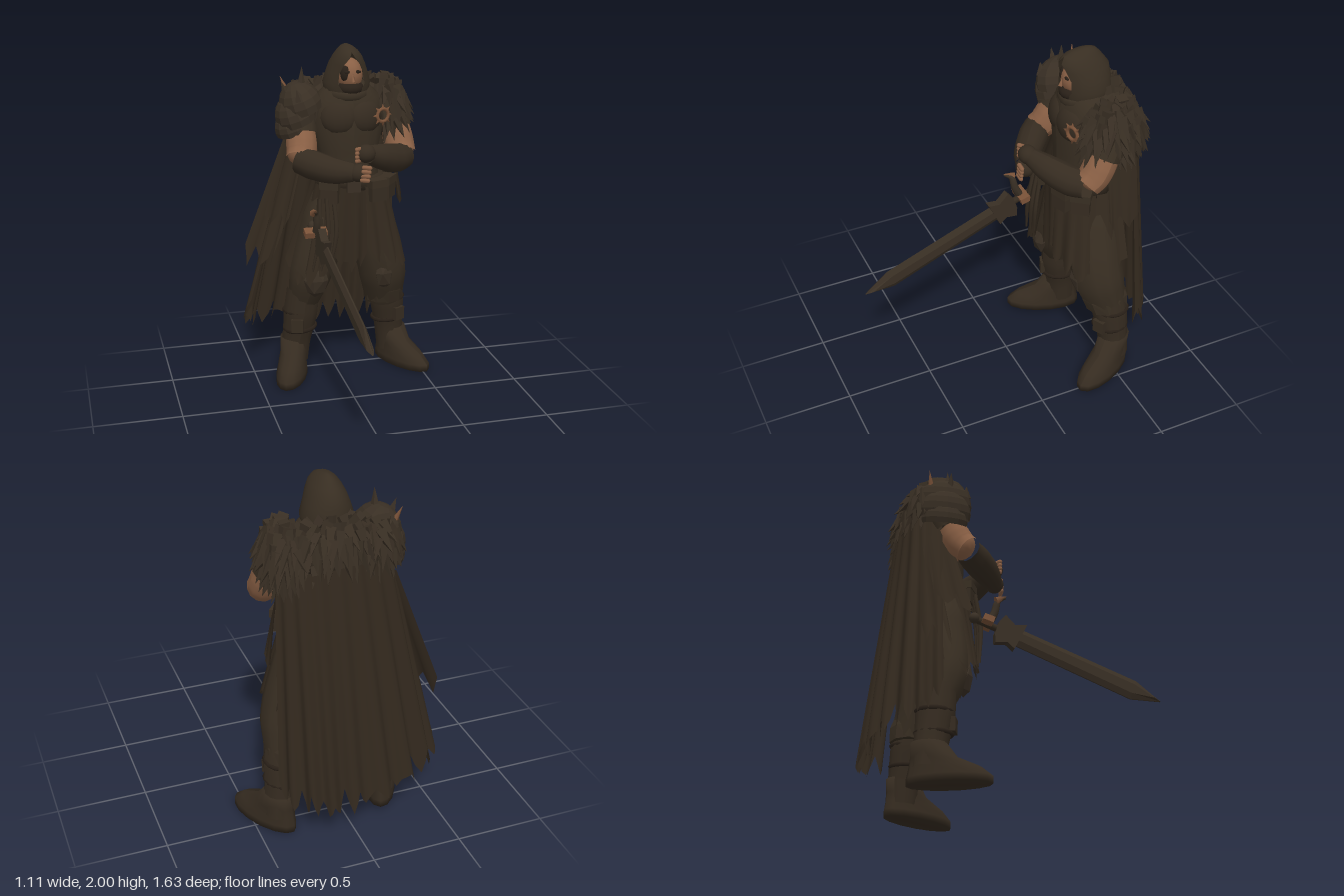
import * as THREE from 'three';
import { mergeGeometries } from 'three/addons/utils/BufferGeometryUtils.js';

const V = (p) => new THREE.Vector3(...p);
const mat = (name, color, side = THREE.FrontSide) => {
  const m = new THREE.MeshStandardMaterial({ color, side });
  m.name = name;
  return m;
};

function createModel() {
  let seed = 7;
  const rnd = () => (seed = (seed * 16807) % 2147483647) / 2147483647;
  const cloth = mat('dark cloth', 0x382e22);
  const cape = mat('cape cloth', 0x33291e, THREE.DoubleSide);
  const hood = mat('hood cloth', 0x382e22, THREE.DoubleSide);
  const fur = mat('fur', 0x382e23);
  const leather = mat('leather', 0x352b20);
  const metal = mat('dark metal', 0x392f24, THREE.DoubleSide);
  const skin = mat('skin', 0x8a6045);
  const trim = mat('copper trim', 0x7a5238);
  const shade = mat('shadow leather', 0x292018);
  const root = new THREE.Group();

  const add = (name, geo, m, pos = [0, 0, 0], rot = [0, 0, 0], scale = [1, 1, 1], parent = root) => {
    const mesh = new THREE.Mesh(geo, m);
    mesh.name = name;
    mesh.position.set(...pos);
    mesh.rotation.set(...rot);
    mesh.scale.set(...scale);
    parent.add(mesh);
    return mesh;
  };
  const ball = (name, m, pos, scale, rot) => add(name, new THREE.SphereGeometry(1, 14, 10), m, pos, rot, scale);
  const flat = (g) => {
    const f = g.index ? g.toNonIndexed() : g;
    f.computeVertexNormals();
    return f;
  };
  const build = (pos, idx) => {
    const g = new THREE.BufferGeometry();
    g.setAttribute('position', new THREE.Float32BufferAttribute(pos, 3));
    g.setIndex(idx);
    g.computeVertexNormals();
    return g;
  };

  // Horizontal elliptical rings [x, y, z, rx, rz, frontGap], bottom to top, capped
  function loft(rings, n = 16) {
    const pos = [], idx = [], w = n + 1;
    rings.forEach(([x, y, z, rx, rz, gap = 0]) => {
      for (let j = 0; j <= n; j++) {
        const a = gap + ((Math.PI * 2 - gap * 2) * j) / n;
        pos.push(x + Math.sin(a) * rx, y, z + Math.cos(a) * rz);
      }
    });
    for (let i = 0; i < rings.length - 1; i++)
      for (let j = 0; j < n; j++) {
        const a = i * w + j, b = a + w;
        idx.push(a, a + 1, b, a + 1, b + 1, b);
      }
    [0, rings.length - 1].forEach((r, top) => {
      const c = pos.length / 3;
      pos.push(rings[r][0], rings[r][1], rings[r][2]);
      for (let j = 0; j < n; j++) {
        const a = r * w + j;
        top ? idx.push(c, a, a + 1) : idx.push(c, a + 1, a);
      }
    });
    return build(pos, idx);
  }

  // Tube of varying radius through points
  function limb(points, radii, n = 12) {
    const curve = new THREE.CatmullRomCurve3(points.map(V)), segs = 16;
    const g = new THREE.TubeGeometry(curve, segs, 1, n), p = g.attributes.position, v = new THREE.Vector3();
    for (let i = 0; i <= segs; i++) {
      const c = curve.getPointAt(i / segs), t = (i / segs) * (radii.length - 1);
      const k = Math.min(Math.floor(t), radii.length - 2);
      const r = THREE.MathUtils.lerp(radii[k], radii[k + 1], t - k);
      for (let j = 0; j <= n; j++) {
        const q = i * (n + 1) + j;
        v.fromBufferAttribute(p, q).sub(c).multiplyScalar(r).add(c);
        p.setXYZ(q, v.x, v.y, v.z);
      }
    }
    g.computeVertexNormals();
    return g;
  }

  // Pleated hanging cloth between two curves, with a pointed, ragged hem
  function curtain(top, bottom, cols, folds, pleat, jag) {
    const a = new THREE.CatmullRomCurve3(top.map(V)), b = new THREE.CatmullRomCurve3(bottom.map(V));
    const pos = [], idx = [], rows = 8, w = rows + 1;
    for (let j = 0; j <= cols; j++) {
      const u = j / cols, p = a.getPoint(u), q = b.getPoint(u);
      const len = 1 - jag * Math.abs((j % 4) / 2 - 1) * (0.3 + 0.7 * rnd());
      for (let i = 0; i <= rows; i++) {
        const v = (i / rows) * len, s = p.clone().lerp(q, v);
        const out = new THREE.Vector3(s.x - 0.05, 0, s.z + 0.4).normalize();
        s.addScaledVector(out, pleat * Math.sin(u * folds * Math.PI * 2) * (0.2 + 0.8 * v));
        pos.push(s.x, s.y, s.z);
        if (i < rows && j < cols) {
          const k = j * w + i;
          idx.push(k, k + 1, k + w, k + 1, k + w + 1, k + w);
        }
      }
    }
    return build(pos, idx);
  }

  // Torso, chest plate, belt
  add('torso', loft([[0.08, 1.1, -0.42, 0.2, 0.16], [0.08, 1.25, -0.41, 0.17, 0.14], [0.07, 1.4, -0.41, 0.18, 0.14],
    [0.07, 1.58, -0.42, 0.22, 0.16], [0.07, 1.7, -0.43, 0.2, 0.14], [0.07, 1.79, -0.43, 0.1, 0.1]]), cloth);
  for (const s of [-1, 1]) ball('chestPlate', leather, [0.07 + s * 0.075, 1.6, -0.32], [0.11, 0.1, 0.06], [-0.15, s * 0.3, 0]);
  add('belt', loft([[0.08, 1.18, -0.41, 0.21, 0.17], [0.08, 1.25, -0.41, 0.2, 0.16]]), leather);
  add('buckle', new THREE.BoxGeometry(0.08, 0.07, 0.02), metal, [0.06, 1.21, -0.24]);
  for (const [x, z, r] of [[0.2, -0.25, 0.3], [0.28, -0.32, 0.9], [-0.07, -0.27, -0.5]]) {
    add('pouch', new THREE.BoxGeometry(0.1, 0.11, 0.07), leather, [x, 1.17, z], [0, r, 0]);
    add('pouchFlap', new THREE.BoxGeometry(0.11, 0.045, 0.08), cloth, [x, 1.22, z], [0, r, 0]);
  }

  // Star brooch
  const brooch = new THREE.Group();
  brooch.name = 'brooch';
  brooch.position.set(0.24, 1.61, -0.27);
  brooch.rotation.y = 0.3;
  root.add(brooch);
  add('broochRing', new THREE.TorusGeometry(0.037, 0.01, 6, 16), trim, undefined, undefined, undefined, brooch);
  for (let i = 0; i < 8; i++) {
    const a = (i * Math.PI) / 4;
    add('broochPoint', new THREE.ConeGeometry(0.012, 0.03, 4), trim,
      [Math.cos(a) * 0.052, Math.sin(a) * 0.052, 0], [0, 0, a - Math.PI / 2], undefined, brooch);
  }

  // Head and pointed hood
  ball('face', skin, [0.07, 1.835, -0.375], [0.075, 0.095, 0.088]);
  add('nose', new THREE.ConeGeometry(0.014, 0.05, 4), skin, [0.07, 1.83, -0.285], [-0.2, 0, 0]);
  ball('beard', shade, [0.07, 1.76, -0.365], [0.08, 0.05, 0.088]);
  for (const s of [-1, 1]) ball('eye', shade, [0.07 + s * 0.03, 1.86, -0.3], [0.02, 0.009, 0.008]);
  ball('eyePatch', shade, [0.03, 1.85, -0.318], [0.028, 0.045, 0.022], [0, -0.5, 0]);
  add('hood', loft([[0.065, 1.7, -0.43, 0.12, 0.13, 0.1], [0.065, 1.74, -0.43, 0.13, 0.14, 0.35], [0.065, 1.79, -0.43, 0.137, 0.145, 0.6],
    [0.065, 1.85, -0.425, 0.118, 0.14, 0.62], [0.065, 1.9, -0.415, 0.1, 0.14, 0.5], [0.065, 1.94, -0.4, 0.08, 0.125, 0.2],
    [0.065, 1.97, -0.4, 0.058, 0.1, 0], [0.065, 1.99, -0.415, 0.035, 0.065, 0], [0.065, 2, -0.43, 0.012, 0.02, 0]], 22), hood);
  add('scarf', new THREE.TorusGeometry(0.1, 0.035, 8, 20), cloth, [0.065, 1.73, -0.42], [Math.PI / 2 + 0.1, 0, 0], [1, 1.05, 1]);

  // Fur mantle: tufted ellipsoids over the left shoulder and back
  const tufts = [];
  const furPatch = (c, r, count, keep) => {
    ball('furMantle', fur, c, r);
    for (let i = 0; i < count; i++) {
      const y = 1 - (1.75 * (i + 0.5)) / count, a = i * 2.39996, k = Math.sqrt(1 - y * y);
      const n = new THREE.Vector3(k * Math.cos(a), y, k * Math.sin(a));
      if (!keep(n)) continue;
      const d = n.clone().multiplyScalar(0.5).add(V([(rnd() - 0.5) * 0.4, -0.8, (rnd() - 0.5) * 0.4])).normalize();
      const g = new THREE.ConeGeometry(0.038, 0.11 + rnd() * 0.05, 4);
      g.applyQuaternion(new THREE.Quaternion().setFromUnitVectors(V([0, 1, 0]), d));
      const p = n.multiply(V(r)).add(V(c)).addScaledVector(d, 0.03);
      tufts.push(g.translate(p.x, p.y, p.z));
    }
  };
  furPatch([0.31, 1.61, -0.47], [0.11, 0.165, 0.165], 130, (n) => n.x > -0.4);
  furPatch([0.08, 1.65, -0.53], [0.27, 0.14, 0.125], 140, (n) => n.z < 0.2);
  furPatch([-0.15, 1.63, -0.54], [0.12, 0.13, 0.1], 60, (n) => n.z < 0);
  add('furTufts', flat(mergeGeometries(tufts)), fur);

  // Spiked right pauldron of overlapping plates
  const dome = () => new THREE.SphereGeometry(1, 12, 6, 0, Math.PI * 2, 0, Math.PI * 0.58);
  [[-0.2, 1.66, 0.125, 0.14, 0.16], [-0.235, 1.59, 0.115, 0.13, 0.15], [-0.25, 1.53, 0.105, 0.1, 0.13]].forEach(([x, y, a, b, c]) =>
    add('pauldronPlate', flat(dome()), metal, [x, y, -0.44], [0, 0, 0.35], [a, b, c]));
  [[-0.2, 1.82, -0.42, 0.13, -0.05], [-0.3, 1.755, -0.42, 0.11, 0.35], [-0.24, 1.74, -0.32, 0.07, 0.3]].forEach(([x, y, z, h, r]) =>
    add('pauldronSpike', flat(new THREE.ConeGeometry(0.032, h, 5)), metal, [x, y, z], [0, 0, r]));
  add('pauldronHorn', new THREE.ConeGeometry(0.02, 0.11, 6), trim, [-0.28, 1.765, -0.53], [-0.2, 0, 0.4]);
  add('pauldronRim', new THREE.TorusGeometry(0.11, 0.014, 6, 18), metal, [-0.19, 1.64, -0.42], [0, -0.7, 0], [0.8, 1.2, 1]);

  // Arms folded in front: sleeves, bare elbows, long bracers
  const arm = (side, shoulder, mid, elbow, fore, hand) => {
    add(side + 'Sleeve', limb([shoulder, mid], [0.085, 0.095, 0.096]), cloth);
    add(side + 'Elbow', limb([mid, elbow, fore[0]], [0.086, 0.09, 0.088, 0.08]), skin);
    ball(side + 'ElbowTip', skin, elbow, [0.085, 0.086, 0.085]);
    add(side + 'Bracer', limb(fore, [0.076, 0.084, 0.08, 0.07, 0.052]), leather);
    ball(side + 'Glove', leather, hand, [0.058, 0.052, 0.052]);
  };
  arm('right', [-0.2, 1.64, -0.46], [-0.21, 1.5, -0.4], [-0.22, 1.41, -0.345],
    [[-0.24, 1.37, -0.305], [-0.17, 1.35, -0.24], [-0.07, 1.33, -0.16], [0.03, 1.33, -0.1]], [0.05, 1.33, -0.09]);
  arm('left', [0.33, 1.64, -0.47], [0.355, 1.5, -0.4], [0.365, 1.405, -0.345],
    [[0.37, 1.36, -0.295], [0.3, 1.365, -0.23], [0.21, 1.395, -0.16], [0.11, 1.43, -0.1]], [0.09, 1.44, -0.085]);
  for (let i = 0; i < 4; i++) {
    add('rightFinger', new THREE.CapsuleGeometry(0.013, 0.035, 3, 6), skin, [0.075 + i * 0.004, 1.295 + i * 0.024, -0.046], [0, 0, 1.4]);
    add('leftFinger', new THREE.CapsuleGeometry(0.013, 0.03, 3, 6), skin, [0.045, 1.405 + i * 0.022, -0.07], [0.4, 0.6, 1.3]);
  }

  // Legs, knee guards and boots
  const leg = (side, thigh, tr, shin, foot, turn) => {
    add(side + 'Trouser', limb(thigh, tr), cloth);
    add(side + 'BootShaft', limb(shin, [0.1, 0.105, 0.09, 0.085]), leather);
    const [kx, ky, kz] = thigh[2], [sx, sy, sz] = shin[1];
    add(side + 'KneeGuard', flat(new THREE.OctahedronGeometry(0.1, 1)), metal, [kx, ky - 0.02, kz + 0.1], [0, turn, 0], [0.8, 1.1, 0.5]);
    for (const dy of [0.06, -0.06])
      add(side + 'BootStrap', new THREE.TorusGeometry(0.094, 0.013, 5, 16), shade, [sx, sy + dy, sz], [Math.PI / 2, 0.1, 0]);
    add(side + 'BootBuckle', new THREE.BoxGeometry(0.07, 0.08, 0.03), leather, [sx + Math.sin(turn) * 0.1, sy - 0.02, sz + 0.095], [0, turn, 0]);
    add(side + 'Boot', loft([[0, 0, 0.11, 0.09, 0.222], [0, 0.04, 0.11, 0.089, 0.222], [0, 0.09, 0.085, 0.082, 0.187],
      [0, 0.14, 0.03, 0.08, 0.125], [0, 0.22, 0, 0.085, 0.096]], 14), leather, [foot[0], 0, foot[1]], [0, turn, 0]);
  };
  leg('right', [[0, 1.14, -0.42], [-0.08, 0.9, -0.41], [-0.16, 0.66, -0.4], [-0.2, 0.46, -0.45]], [0.13, 0.15, 0.14, 0.125, 0.09],
    [[-0.2, 0.55, -0.44], [-0.22, 0.35, -0.46], [-0.24, 0.2, -0.48], [-0.25, 0.08, -0.49]], [-0.25, -0.49], -0.36);
  leg('left', [[0.15, 1.14, -0.42], [0.22, 0.9, -0.43], [0.285, 0.66, -0.44], [0.315, 0.43, -0.5]], [0.13, 0.15, 0.15, 0.145, 0.115],
    [[0.32, 0.55, -0.48], [0.345, 0.35, -0.51], [0.36, 0.2, -0.525], [0.37, 0.08, -0.53]], [0.37, -0.53], 0.48);
  add('leftTrouserCuff', flat(loft([[0.315, 0.42, -0.495, 0.12, 0.125], [0.31, 0.5, -0.48, 0.12, 0.14], [0.3, 0.58, -0.46, 0.11, 0.13]], 10)), cloth);

  // Long ragged cape and side rags
  add('cape', curtain([[-0.24, 1.5, -0.45], [-0.23, 1.55, -0.58], [-0.08, 1.58, -0.64], [0.1, 1.58, -0.655], [0.28, 1.55, -0.64], [0.385, 1.5, -0.56]],
    [[-0.54, 0.38, -0.47], [-0.5, 0.26, -0.62], [-0.26, 0.24, -0.75], [0.05, 0.18, -0.795], [0.25, 0.2, -0.775], [0.41, 0.25, -0.65]],
    64, 9, 0.026, 0.11), cape);
  const rags = [
    [[[-0.16, 1.5, -0.5], [-0.26, 1.48, -0.58]], [[-0.38, 0.72, -0.4], [-0.57, 0.66, -0.6]], 12, 2],
    [[[-0.2, 1.4, -0.38], [-0.28, 1.42, -0.54]], [[-0.33, 0.95, -0.29], [-0.43, 0.95, -0.5]], 8, 2],
    [[[0.33, 1.42, -0.44], [0.39, 1.46, -0.58]], [[0.4, 1.02, -0.44], [0.44, 1.04, -0.59]], 8, 2],
    // Tattered skirt panels
    [[[-0.12, 1.2, -0.52], [-0.11, 1.2, -0.34], [0, 1.2, -0.25]], [[-0.3, 0.72, -0.5], [-0.24, 0.6, -0.26], [-0.08, 0.72, -0.21]], 16, 4],
    [[[0.13, 1.2, -0.24], [0.27, 1.2, -0.33], [0.29, 1.2, -0.55]], [[0.16, 0.76, -0.21], [0.37, 0.69, -0.27], [0.4, 0.71, -0.58]], 20, 4],
    [[[-0.02, 1.2, -0.25], [0.06, 1.2, -0.24], [0.14, 1.2, -0.25]], [[-0.05, 0.72, -0.27], [0.05, 0.68, -0.25], [0.15, 0.72, -0.27]], 12, 2],
    [[[0.27, 1.18, -0.45], [0.1, 1.2, -0.57], [-0.1, 1.18, -0.48]], [[0.38, 0.75, -0.58], [0.08, 0.7, -0.64], [-0.25, 0.75, -0.57]], 20, 4],
  ];
  rags.forEach(([a, b, cols, folds], i) => add(i < 3 ? 'sideRag' : 'skirtPanel', curtain(a, b, cols, folds, 0.017, 0.24), cape));

  // Sword at the right hip, pointing forward and down
  const sword = new THREE.Group();
  sword.name = 'sword';
  const dir = V([0.05, -0.295, 0.87]).normalize(), up = V([0, 1, 0]);
  up.addScaledVector(dir, -up.dot(dir)).normalize();
  sword.applyMatrix4(new THREE.Matrix4().makeBasis(dir, up, dir.clone().cross(up)));
  sword.position.set(-0.165, 0.92, -0.05);
  root.add(sword);
  const outline = (pts) => new THREE.Shape(pts.map(([x, y]) => new THREE.Vector2(x, y)));
  add('blade', new THREE.ExtrudeGeometry(outline([[-0.05, -0.05], [0.75, -0.064], [0.918, -0.003], [0.75, 0.052], [-0.05, 0.054]]),
    { depth: 0.008, bevelThickness: 0.016, bevelSize: 0.03, bevelOffset: -0.03, bevelSegments: 1 }),
  metal, [0, 0, -0.004], undefined, undefined, sword);
  add('swordGuard', new THREE.ExtrudeGeometry(outline([[0.07, 0.085], [0.01, 0.055], [-0.06, 0.09], [-0.08, 0.04], [-0.08, -0.04],
    [-0.06, -0.09], [0, -0.06], [0.05, -0.08], [0.06, 0]]), { depth: 0.045, bevelEnabled: false }), metal, [0, 0, -0.0225], undefined, undefined, sword);
  add('grip', new THREE.CylinderGeometry(0.02, 0.02, 0.16, 8), leather, [-0.14, 0, 0], [0, 0, Math.PI / 2], undefined, sword);
  ball('pommel', metal, [-0.18, 0.99, -0.25], [0.03, 0.03, 0.03]);
  add('quillon', limb([[-0.18, 0.95, -0.18], [-0.18, 1.03, -0.14], [-0.19, 1.1, -0.12], [-0.2, 1.12, -0.08]], [0.024, 0.022, 0.02, 0.005], 8), metal);
  add('quillonTip', new THREE.ConeGeometry(0.024, 0.07, 6), trim, [-0.2, 1.115, -0.105], [1.1, 0, 0]);
  add('scabbardMouth', new THREE.BoxGeometry(0.13, 0.035, 0.06), trim, [-0.18, 0.97, -0.18], [0.3, 0, 0]);

  // Hanging straps by the sword
  for (let i = 0; i < 3; i++)
    add('hangingStrap', limb([[-0.14 + i * 0.04, 1.15, -0.24], [-0.15 + i * 0.05, 0.95, -0.21], [-0.19 + i * 0.05, 0.72, -0.22]], [0.012, 0.014, 0.006], 6), leather);
  return root;
}

export { createModel };
